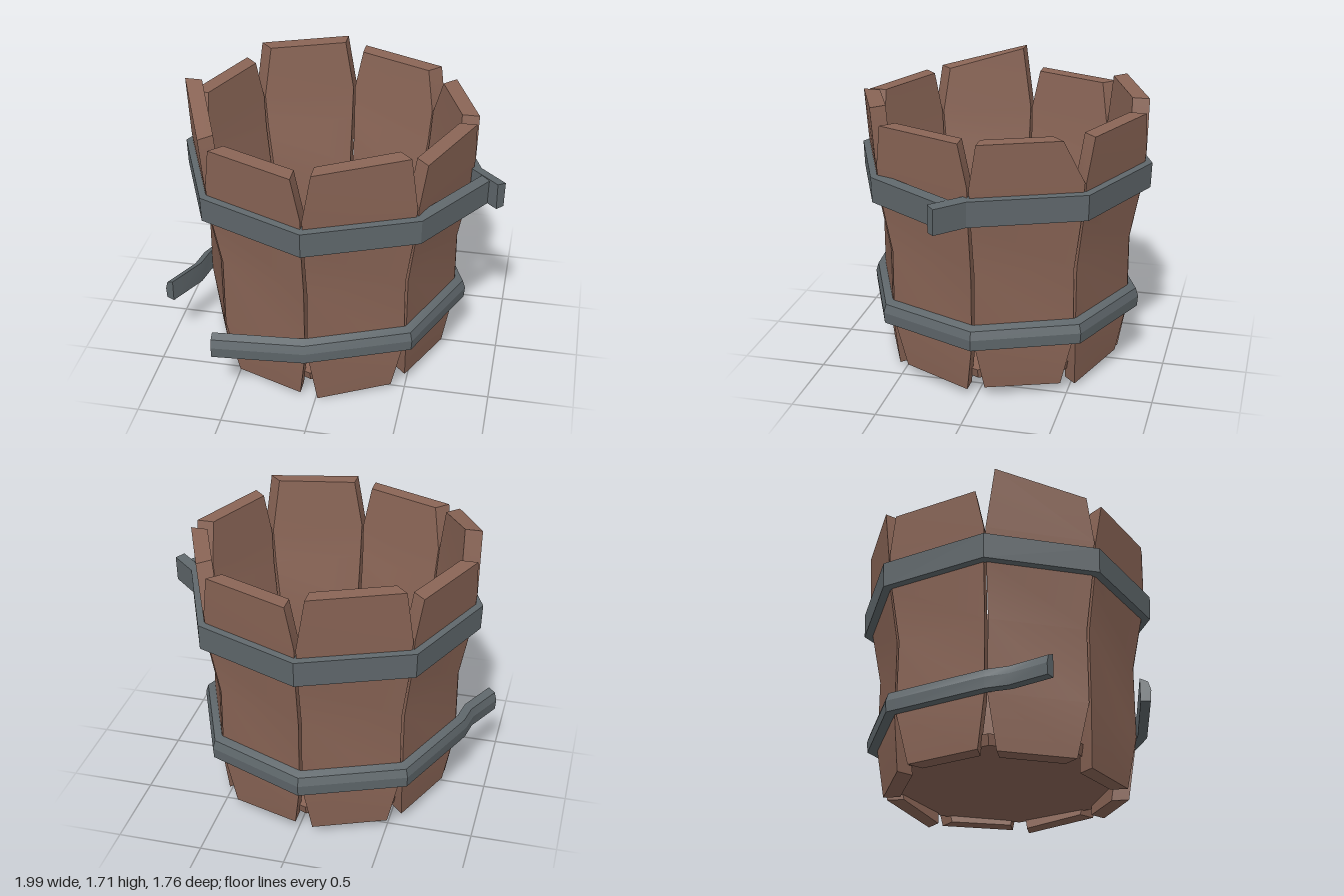
import * as THREE from 'three';
import { toCreasedNormals } from 'three/addons/utils/BufferGeometryUtils.js';

const CX = -0.04; // axis of the bucket; the loose band ends stick out unevenly

// Closed solid through a list of cross-section loops
function loft(sections) {
  const pos = [], n = sections[0].length;
  const tri = (a, b, c) => pos.push(...a, ...b, ...c);
  for (let s = 0; s < sections.length - 1; s++) {
    const p = sections[s], q = sections[s + 1];
    for (let i = 0; i < n; i++) {
      const j = (i + 1) % n;
      tri(p[i], q[i], q[j]);
      tri(p[i], q[j], p[j]);
    }
  }
  const first = sections[0], last = sections[sections.length - 1];
  for (let i = 1; i < n - 1; i++) {
    tri(first[0], first[i], first[i + 1]);
    tri(last[0], last[i + 1], last[i]);
  }
  const g = new THREE.BufferGeometry();
  g.setAttribute('position', new THREE.Float32BufferAttribute(pos, 3));
  return toCreasedNormals(g, 0.35);
}

const ring = (deg, r) => {
  const a = THREE.MathUtils.degToRad(deg);
  return [CX + r * Math.cos(a), r * Math.sin(a)];
};

// Stave slab between two octagon corners; ends a and b have their own heights
function staveGeometry(k, { top, bottom, gapTop = [0.06, 0.06] }) {
  const rows = [ // height, corner radius, gap to the neighbour
    [bottom, 0.725, [0.055, 0.055]],
    [[0.36, 0.36], 0.765, [0.008, 0.008]],
    [[0.8, 0.8], 0.765, [0.01, 0.01]],
    [[1.12, 1.12], 0.825, [0.008, 0.008]],
    [[1.33, 1.33], 0.845, [0.005, 0.005]],
    [top, 0.867, gapTop],
  ];
  return loft(rows.map(([y, r, gap]) => {
    const corner = (end, radius) => {
      const [x, z] = ring((k + end) * 45, radius);
      const [ox, oz] = ring((k + 1 - end) * 45, radius);
      const t = gap[end] / Math.hypot(ox - x, oz - z);
      return [x + (ox - x) * t, y[end], z + (oz - z) * t];
    };
    return [corner(0, r), corner(1, r), corner(1, r - 0.1), corner(0, r - 0.1)];
  }));
}

// Band swept along its outer path; profile is [depth inward, height]
function bandGeometry(path, profile) {
  const dir = (p, q) => new THREE.Vector2(q[0] - p[0], q[1] - p[1]).normalize();
  return loft(path.map((p, i) => {
    const d0 = dir(path[Math.max(i - 1, 0)], path[Math.max(i, 1)]);
    const last = path.length - 1;
    const d1 = dir(path[Math.min(i, last - 1)], path[Math.min(i + 1, last)]);
    const t = d0.clone().add(d1).normalize();
    const miter = 1 / Math.max(t.dot(d1), 0.6);
    return profile.map(([d, y]) => [p[0] - t.y * d * miter, y, p[1] + t.x * d * miter]);
  }));
}

export function createModel() {
  const wood = new THREE.MeshStandardMaterial({ color: 0x8a6556 });
  wood.name = 'brown wood';
  const metal = new THREE.MeshStandardMaterial({ color: 0x5f676b });
  metal.name = 'grey metal';

  const group = new THREE.Group();
  group.name = 'brokenBucket';
  const add = (name, geometry, material) => {
    const mesh = new THREE.Mesh(geometry, material);
    mesh.name = name;
    group.add(mesh);
    return mesh;
  };

  // Eight uneven staves, starting at the left front and going round by the front
  const staves = [
    { top: [1.58, 1.58], bottom: [0.045, 0.07] },
    { top: [1.655, 1.615], bottom: [0.04, 0.005] },
    { top: [1.585, 1.585], bottom: [0.035, 0.015] },
    { top: [1.6, 1.71], bottom: [0.045, 0.045] },
    { top: [1.57, 1.57], bottom: [0.06, 0.06] },
    { top: [1.64, 1.635], bottom: [0.05, 0.05] },
    { top: [1.58, 1.58], bottom: [0.07, 0.03] },
    { top: [1.58, 1.58], bottom: [0.06, 0.07], gapTop: [0.14, 0.05] },
  ];
  staves.forEach((s, k) => add('stave' + (k + 1), staveGeometry(k, s), wood));

  // Floor board
  const floor = add('floor', new THREE.CylinderGeometry(0.67, 0.65, 0.06, 8).toNonIndexed(), wood);
  floor.geometry.computeVertexNormals();
  floor.position.set(CX, 0.13, 0);

  // Upper band, sprung open at the left side
  const upper = [[0.9, 0.13]];
  for (let a = 45; a <= 360; a += 45) upper.push(ring(a, 0.88));
  upper.push([0.99, 0.14]);
  add('upperBand', bandGeometry(upper,
    [[0.06, 1.12], [0.06, 1.28], [0, 1.27], [0.005, 1.12]]), metal);

  // Lower band, sprung open at the front right
  const lower = [[-1.0, 0.35], [-0.89, 0.13]];
  for (let a = 180; a <= 450; a += 45) lower.push(ring(a, 0.828));
  lower.push([-0.575, 0.87]);
  add('lowerBand', bandGeometry(lower,
    [[0.06, 0.355], [0.06, 0.49], [0.015, 0.47], [0, 0.42], [0.005, 0.355]]), metal);

  return group;
}
